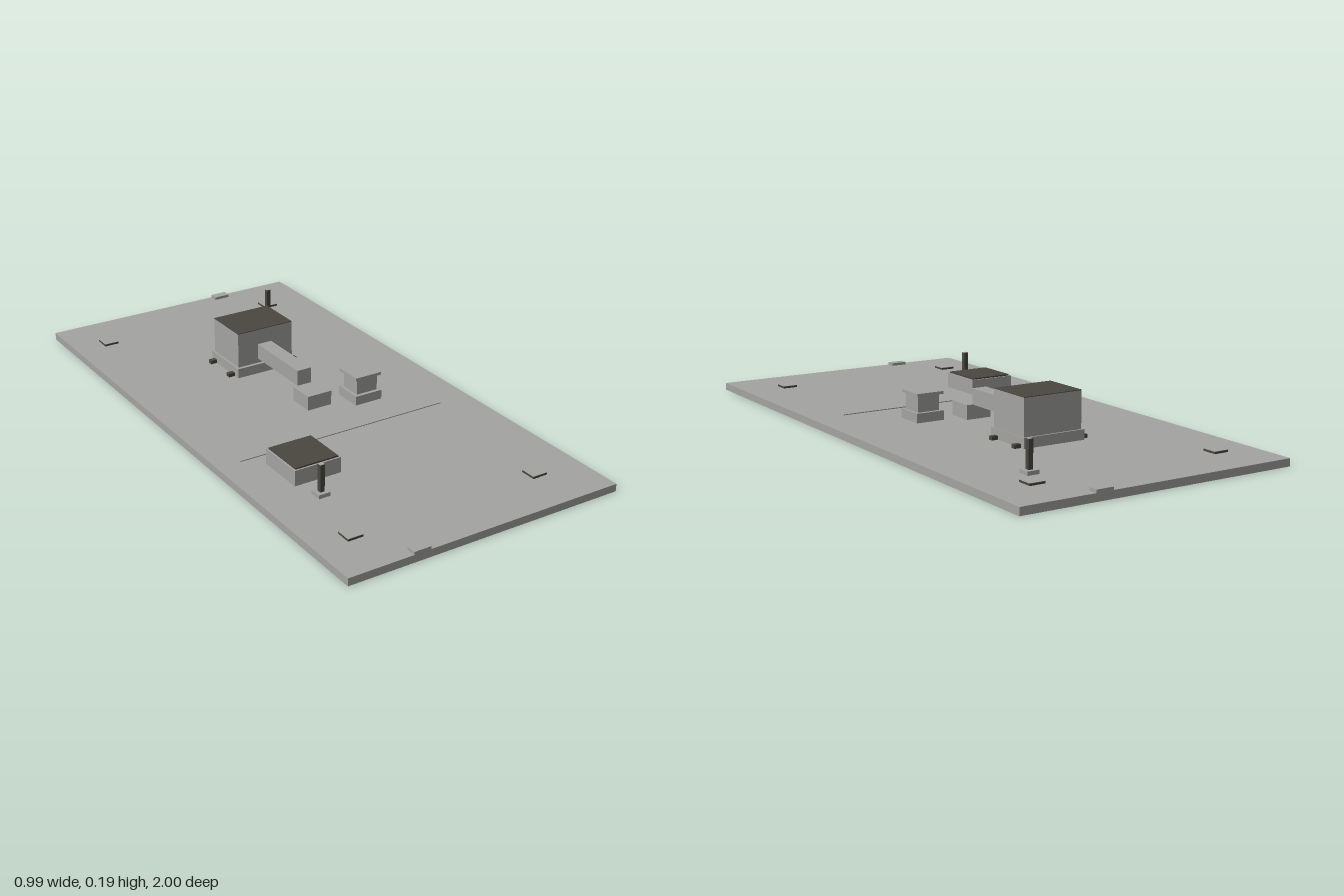
import * as THREE from 'three';

export function createModel() {
  const model = new THREE.Group();
  model.name = 'platformModel';

  const grey = new THREE.MeshStandardMaterial({ color: 0xa3a3a1 });
  grey.name = 'concreteGrey';
  const dark = new THREE.MeshStandardMaterial({ color: 0x4b4740 });
  dark.name = 'darkBrown';

  // Box given by its extents on each axis
  function box(name, [x0, x1], [y0, y1], [z0, z1], material, parent = model) {
    const mesh = new THREE.Mesh(new THREE.BoxGeometry(x1 - x0, y1 - y0, z1 - z0), material);
    mesh.position.set((x0 + x1) / 2, (y0 + y1) / 2, (z0 + z1) / 2);
    mesh.name = name;
    parent.add(mesh);
    return mesh;
  }
  function group(name) {
    const g = new THREE.Group();
    g.name = name;
    model.add(g);
    return g;
  }
  const around = (c, half) => [c - half, c + half];
  const F = 0.026; // platform surface

  box('platform', [-0.497, 0.497], [0, F], [-1, 1], grey);

  // Main building: plinth, body, thin dark roof, four small feet
  const main = group('mainBuilding');
  box('plinth', [-0.11, 0.123], [F, 0.061], [-0.472, -0.282], grey, main);
  box('body', [-0.101, 0.12], [0.061, 0.188], [-0.466, -0.294], grey, main);
  box('roof', [-0.101, 0.12], [0.188, 0.19], [-0.466, -0.294], dark, main);
  for (const z of [-0.446, -0.315]) {
    box('foot', [-0.134, -0.11], [F, 0.039], around(z, 0.009), dark, main);
    box('foot', [0.123, 0.147], [F, 0.039], around(z, 0.009), dark, main);
  }

  // Raised passage ending over a low block
  box('passage', [-0.021, 0.034], [0.077, 0.133], [-0.294, -0.028], grey);
  box('passageBlock', [-0.037, 0.056], [F, 0.077], [-0.03, 0.066], grey);

  // Small tower with a wide cap
  const tower = group('smallTower');
  box('towerBase', [0.121, 0.226], [F, 0.059], [0.015, 0.121], grey, tower);
  box('towerBody', [0.133, 0.215], [0.059, 0.116], [0.028, 0.108], grey, tower);
  box('towerCap', [0.122, 0.224], [0.116, 0.126], [0.015, 0.118], grey, tower);

  // Low hut with a dark roof panel
  const hut = group('hut');
  box('hutBody', [-0.35, -0.181], [F, 0.08], [0.313, 0.485], grey, hut);
  box('hutRoof', [-0.344, -0.187], [0.08, 0.085], [0.319, 0.479], dark, hut);

  // Posts on square footings
  for (const [x, z] of [[-0.309, 0.57], [0.276, -0.724]]) {
    const post = group('post');
    box('footing', around(x, 0.021), [F, 0.039], around(z, 0.021), grey, post);
    box('shaft', around(x, 0.008), [0.039, 0.132], around(z, 0.008), dark, post);
    box('shaftTop', around(x, 0.008), [0.132, 0.133], around(z, 0.008), grey, post);
  }

  // Corner pads: dark sides, grey tops
  for (const x of [-0.363, 0.327]) {
    for (const z of [-0.813, 0.813]) {
      box('cornerPad', around(x, 0.027), [F, 0.033], around(z, 0.027), dark);
      box('cornerPadTop', around(x, 0.027), [0.033, 0.034], around(z, 0.027), grey);
    }
  }

  // Tabs on the two short edges
  box('backTab', [0.177, 0.238], [F, 0.036], [-1, -0.967], grey);
  box('frontTab', [-0.271, -0.211], [F, 0.036], [0.967, 1], grey);

  // Thin kerb across the platform
  box('kerb', [-0.413, 0.377], [F, 0.029], [0.257, 0.26], grey);

  return model;
}
